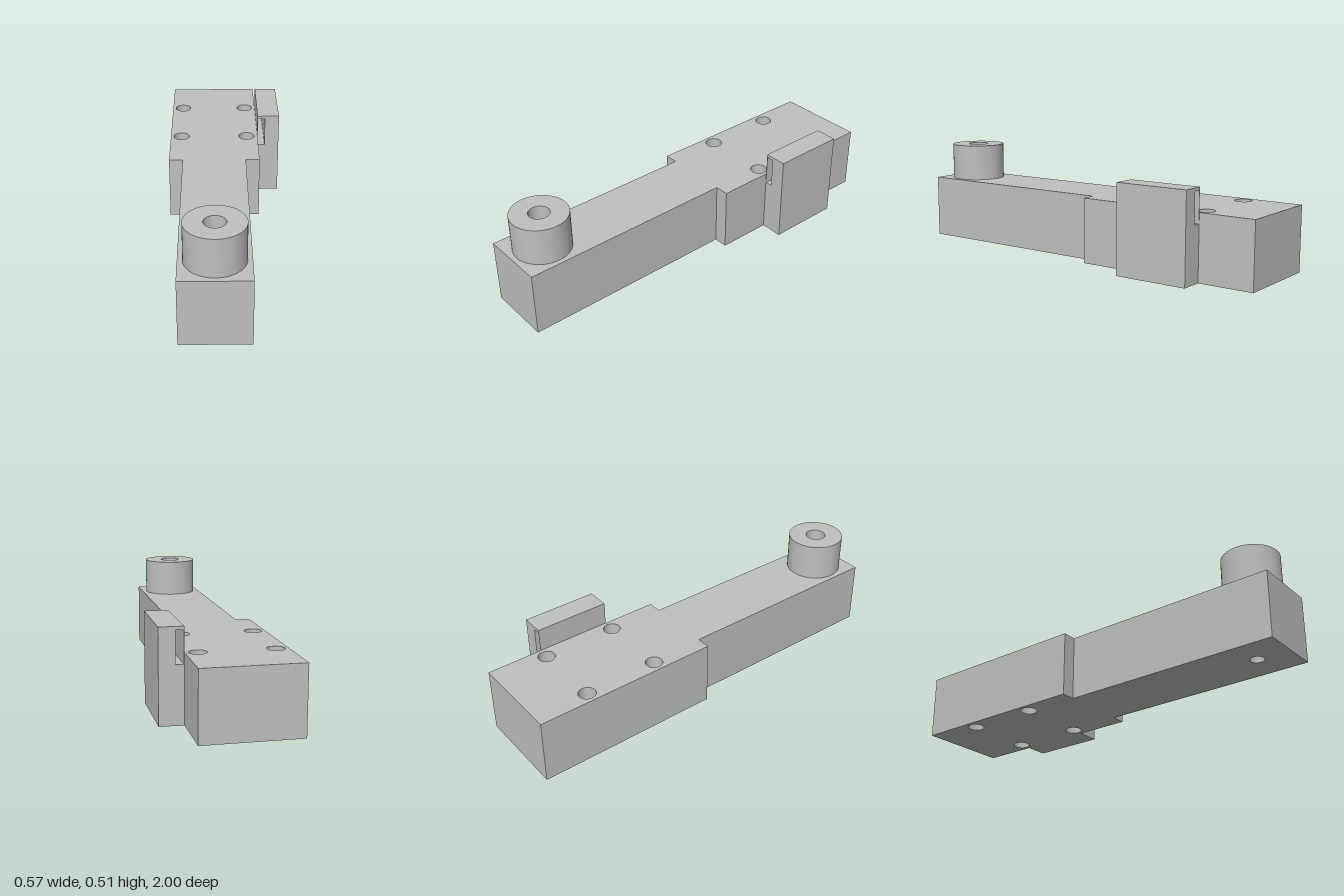
import * as THREE from 'three';
import { toCreasedNormals } from 'three/addons/utils/BufferGeometryUtils.js';

const HEIGHT = 0.322;
const POST = { x: -0.057, z: 0.838 };

export function createModel() {
  const grey = new THREE.MeshStandardMaterial({ color: 0xbfbfbf });
  grey.name = 'plain grey';
  const group = new THREE.Group();

  const polygon = (points) => new THREE.Shape(points.map(([x, y]) => new THREE.Vector2(x, y)));
  const circle = (Type, x, z, r) => new Type().absarc(x, -z, r, 0, Math.PI * 2);

  const extrude = (shape, depth) => new THREE.ExtrudeGeometry(shape, { depth, bevelEnabled: false, curveSegments: 32 });

  const add = (name, geometry) => {
    const mesh = new THREE.Mesh(toCreasedNormals(geometry, 0.6), grey);
    mesh.name = name;
    group.add(mesh);
  };

  // Plan shapes are drawn with y = -z and raised from y0 to y1
  const raise = (name, shape, y0, y1) =>
    add(name, extrude(shape, y1 - y0).rotateX(-Math.PI / 2).translate(0, y0, 0));

  // Body: narrow arm at the front, wide head at the back
  const body = polygon([
    [-0.218, -1], [0.103, -1], [0.103, 0.082], [0.173, 0.082],
    [0.173, 1], [-0.287, 1], [-0.287, 0.082], [-0.218, 0.082],
  ]);
  for (const x of [-0.23, 0.115]) {
    for (const z of [-0.727, -0.358]) body.holes.push(circle(THREE.Path, x, z, 0.041));
  }
  body.holes.push(circle(THREE.Path, POST.x, POST.z, 0.05));
  raise('body', body, 0, HEIGHT);

  // Sleeve that narrows the lower end of the post bore
  const sleeve = circle(THREE.Shape, POST.x, POST.z, 0.05);
  sleeve.holes.push(circle(THREE.Path, POST.x, POST.z, 0.033));
  raise('boreSleeve', sleeve, 0, 0.14);

  // Round post on the arm
  const post = circle(THREE.Shape, POST.x, POST.z, 0.138);
  post.holes.push(circle(THREE.Path, POST.x, POST.z, 0.05));
  raise('post', post, HEIGHT, 0.507);

  // Side bracket with a slot running front to back beside a very thin wall
  const bracket = polygon([[0.173, 0], [0.286, 0], [0.286, 0.437], [0.173, 0.437]]);
  bracket.holes.push(polygon([[0.175, 0.271], [0.175, 0.421], [0.212, 0.421], [0.212, 0.271]]));
  add('sideBracket', extrude(bracket, 0.369).translate(0, 0, -0.725));

  return group;
}
